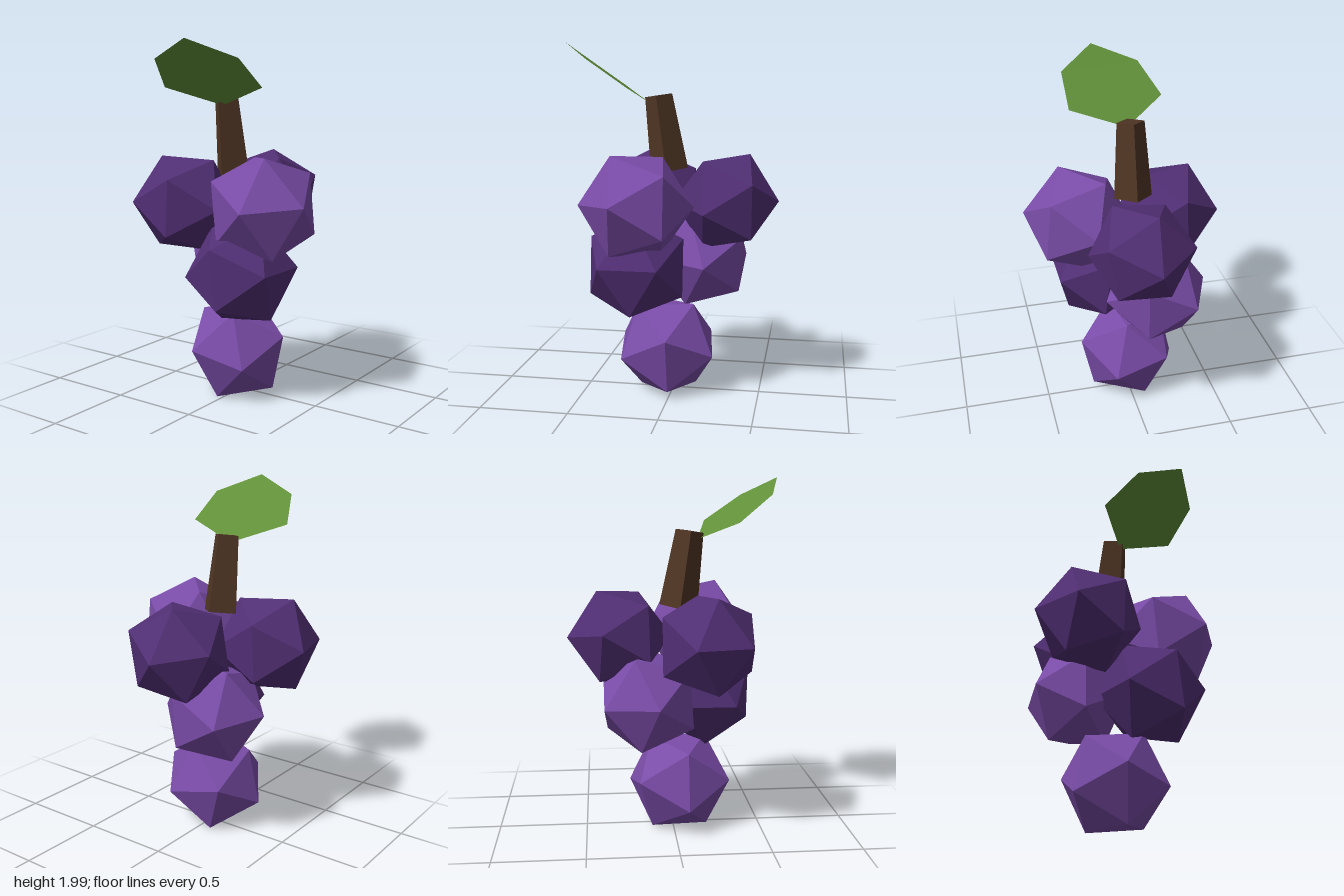
import * as THREE from 'three';

const paint = (name, color, extra = {}) => {
  const m = new THREE.MeshStandardMaterial({ color, flatShading: true, ...extra });
  m.name = name;
  return m;
};

// Icosahedron turned so that two neighbouring corners point along a and b.
function grape(name, material, center, radius, a, b) {
  const p = new THREE.Vector3(...a).normalize();
  const q = new THREE.Vector3(...b).normalize();
  const x = q.clone().sub(p).normalize();
  const y = q.clone().add(p).normalize();
  const z = new THREE.Vector3().crossVectors(x, y);
  const mesh = new THREE.Mesh(new THREE.IcosahedronGeometry(radius, 0), material);
  mesh.quaternion.setFromRotationMatrix(new THREE.Matrix4().makeBasis(x, y, z));
  mesh.position.set(...center);
  mesh.name = name;
  return mesh;
}

export function createModel() {
  const light = paint('lightPurple', 0x7a4ca8);
  const dark = paint('darkPurple', 0x512f74);
  const brown = paint('stemBrown', 0x4f3523);
  const green = paint('leafGreen', 0x629039, { side: THREE.DoubleSide });
  const model = new THREE.Group();
  model.name = 'grapeBunch';

  // Grapes: three on top, two in the middle, one at the bottom
  model.add(
    grape('topFrontGrape', light, [-0.163, 1.12, 0.255], 0.316, [-0.31, 0.01, 0.06], [-0.124, 0.277, 0.085]),
    grape('topLeftGrape', dark, [0.3, 1.122, -0.005], 0.295, [0.099, 0.043, -0.277], [0.293, 0, -0.04]),
    grape('topBackGrape', dark, [-0.17, 1.107, -0.268], 0.302, [0.093, 0.01, -0.29], [-0.037, 0.253, -0.13]),
    grape('middleRightGrape', dark, [-0.19, 0.757, 0.13], 0.311, [1, 0.197, 1.606], [-1, 0.197, 1.606]),
    grape('middleLeftGrape', light, [0.147, 0.772, -0.128], 0.302, [-0.048, 0.011, -0.292], [0.243, -0.011, -0.172]),
    grape('bottomGrape', light, [-0.037, 0.267, 0], 0.305, [0.037, 0.1, 0.285], [0.037, -0.211, 0.217]),
  );

  // Leaning four-sided stem
  const stem = new THREE.Mesh(new THREE.CylinderGeometry(0.078, 0.108, 0.425, 4), brown);
  stem.position.set(-0.061, 1.497, -0.037);
  stem.rotation.z = 0.146;
  stem.name = 'stem';
  model.add(stem);

  // Flat six-sided leaf, corners running round from the tip
  const leafGeometry = new THREE.BufferGeometry();
  leafGeometry.setAttribute('position', new THREE.Float32BufferAttribute([
    -0.597, 2.0, 0.073,
    -0.424, 1.904, 0.277,
    -0.21, 1.757, 0.277,
    -0.135, 1.66, -0.03,
    -0.332, 1.757, -0.276,
    -0.523, 1.904, -0.183,
  ], 3));
  leafGeometry.setIndex([0, 1, 5, 1, 4, 5, 1, 2, 4, 2, 3, 4]);
  leafGeometry.computeVertexNormals();
  const leaf = new THREE.Mesh(leafGeometry, green);
  leaf.name = 'leaf';
  model.add(leaf);

  return model;
}
